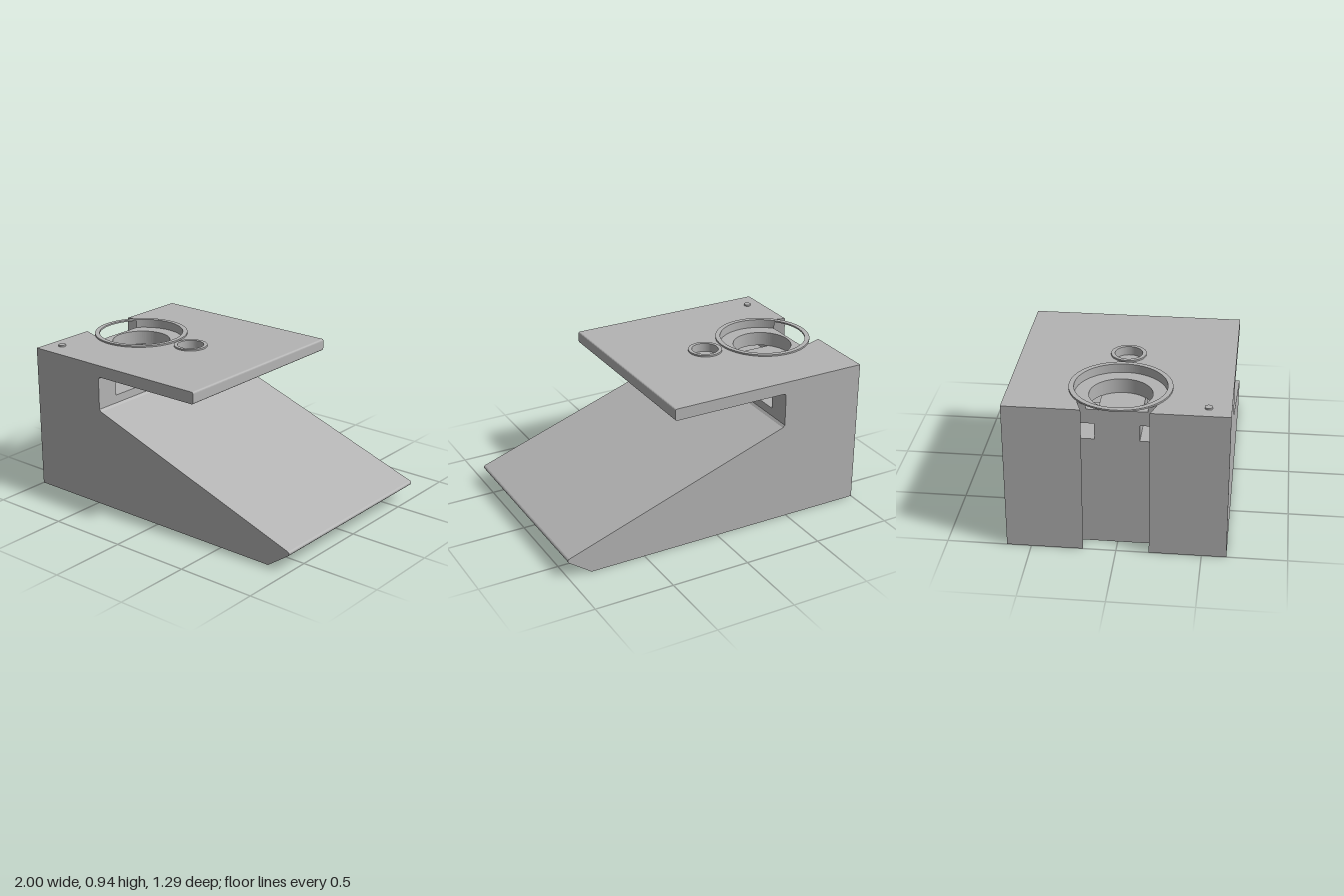
import * as THREE from 'three';

const W = 0.645;                      // half width in z
const BACK = -1, WALL = -0.465, NOTCH = -0.905, CX = -0.7;

export function createModel() {
  const group = new THREE.Group();
  const grey = new THREE.MeshStandardMaterial({ color: 0xb4b4b4 });
  grey.name = 'plain grey';

  const add = (name, geometry) => {
    const mesh = new THREE.Mesh(geometry, grey);
    mesh.name = name;
    group.add(mesh);
    return mesh;
  };
  const poly = (pts) => new THREE.Shape(pts.map(([x, y]) => new THREE.Vector2(x, y)));
  const circle = (x, r) => new THREE.Path().absarc(x, 0, r, 0, Math.PI * 2, true);

  // horizontal slab: plan outline raised from y0 to y1
  const slab = (name, shape, y0, y1, holes = []) => {
    shape.holes.push(...holes);
    const g = new THREE.ExtrudeGeometry(shape, { depth: y1 - y0, bevelEnabled: false, curveSegments: 48 });
    g.rotateX(-Math.PI / 2).translate(0, y0, 0);
    return add(name, g);
  };
  // side profile carried across the full width
  const across = (name, shape) => {
    const g = new THREE.ExtrudeGeometry(shape, { depth: 2 * W, bevelEnabled: false, curveSegments: 8 });
    return add(name, g.translate(0, 0, -W));
  };
  // plan of the block with the dovetail notch, and optionally the front recess
  const plan = (xEnd, recess = false, bowl = false) => {
    const s = new THREE.Shape();
    s.moveTo(BACK, -W);
    s.lineTo(xEnd, -W);
    if (recess) [[xEnd, -0.103], [-0.5, -0.103], [-0.5, 0.103], [xEnd, 0.103]].forEach((p) => s.lineTo(...p));
    s.lineTo(xEnd, W);
    s.lineTo(BACK, W);
    s.lineTo(BACK, 0.193);
    s.lineTo(NOTCH, 0.227);
    if (bowl) {
      const a = Math.acos((NOTCH - CX) / 0.27);
      s.absarc(CX, 0, 0.27, a, -a, true);
    }
    s.lineTo(NOTCH, -0.227);
    s.lineTo(BACK, -0.193);
    s.closePath();
    return s;
  };

  // sloping ramp with a blunt rounded toe
  const ramp = new THREE.Shape();
  ramp.moveTo(WALL, 0);
  ramp.lineTo(0.85, 0);
  ramp.lineTo(0.99, 0.1);
  ramp.quadraticCurveTo(1.008, 0.118, 0.99, 0.128);
  ramp.lineTo(WALL, 0.63);
  ramp.closePath();
  across('ramp', ramp);

  // block, bottom to top
  const pit = poly([[-0.84, -0.103], [-0.84, 0.103], [-0.625, 0.103], [-0.625, -0.103]]);
  slab('blockBase', plan(WALL), 0, 0.6, [pit]);
  slab('blockPitRoof', plan(WALL), 0.6, 0.635);
  slab('blockBelowSlots', plan(WALL, true), 0.635, 0.69);

  // slot level: central pillar, back walls and side walls leave two slots
  slab('slotPillar', poly([[NOTCH, -0.13], [WALL, -0.13], [WALL, -0.103], [-0.5, -0.103],
    [-0.5, 0.103], [WALL, 0.103], [WALL, 0.13], [NOTCH, 0.13]]), 0.69, 0.79);
  for (const s of [-1, 1]) {
    slab('slotSurround', poly([[BACK, s * 0.193], [NOTCH, s * 0.227], [NOTCH, s * 0.495],
      [WALL, s * 0.495], [WALL, s * W], [BACK, s * W]]), 0.69, 0.79);
  }

  slab('blockAboveSlots', plan(WALL, true), 0.79, 0.85, [circle(CX, 0.185)]);

  // overhanging top plate with the stepped round bowl and a small well
  slab('plateLower', plan(0.27), 0.85, 0.88, [circle(CX, 0.185)]);
  slab('plateUpper', plan(0.27, false, true), 0.88, 0.925, [circle(-0.277, 0.083)]);

  // rounded plate edge
  const nose = new THREE.Shape();
  nose.moveTo(0.27, 0.85);
  nose.lineTo(0.28, 0.85);
  nose.quadraticCurveTo(0.293, 0.85, 0.293, 0.863);
  nose.lineTo(0.293, 0.912);
  nose.quadraticCurveTo(0.293, 0.925, 0.28, 0.925);
  nose.lineTo(0.27, 0.925);
  nose.closePath();
  across('plateEdge', nose);

  // small fillets where the wall meets the plate and the ramp
  across('upperFillet', poly([[WALL, 0.84], [WALL + 0.012, 0.85], [WALL, 0.85]]));
  across('lowerFillet', poly([[WALL, 0.628], [WALL + 0.014, 0.625], [WALL, 0.639]]));

  // raised rims and locating pip
  const rim = (name, x, ro, ri) =>
    slab(name, new THREE.Shape().absarc(x, 0, ro, 0, Math.PI * 2, false), 0.925, 0.935, [circle(x, ri)]);
  rim('bowlRim', CX, 0.3, 0.27);
  rim('wellRim', -0.277, 0.106, 0.083);
  const pip = add('pip', new THREE.CylinderGeometry(0.023, 0.023, 0.01, 32));
  pip.position.set(-0.905, 0.93, 0.515);

  return group;
}
